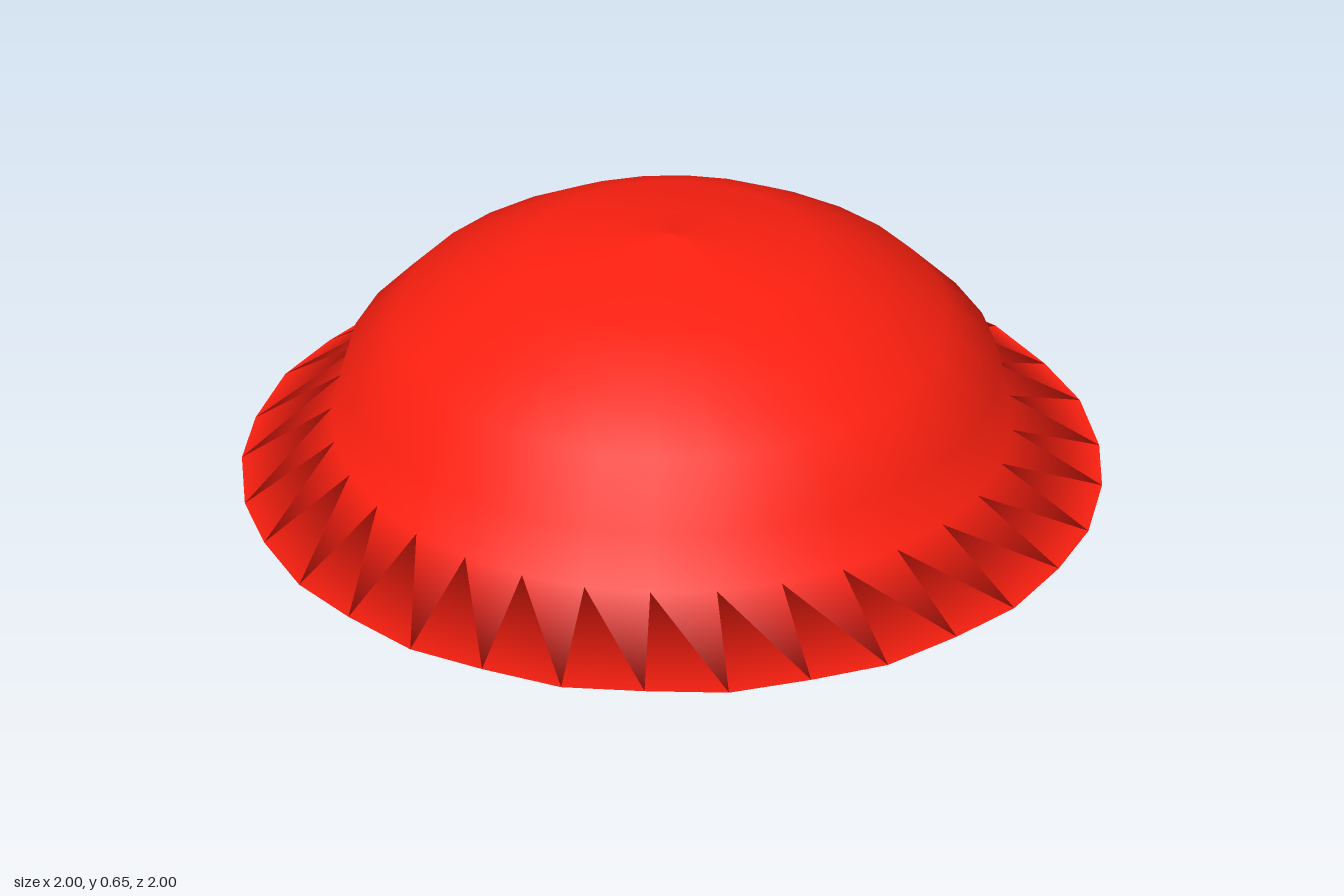
import * as THREE from 'three';

const SIDES = 32;

export function createModel() {
  const group = new THREE.Group();
  group.name = 'domedHat';

  // Closed profile: base centre, rim, flared brim, rounded crown, small peak
  const profile = [
    [0, 0.02], [1, 0], [0.79, 0.15], [0.76, 0.29], [0.64, 0.42],
    [0.5, 0.51], [0.34, 0.59], [0.17, 0.61], [0, 0.65],
  ].map(([r, y]) => new THREE.Vector2(r, y));
  const geometry = new THREE.LatheGeometry(profile, SIDES);

  // Slightly wavy rim: every second rim corner is lifted a little
  const position = geometry.attributes.position;
  for (let i = 0; i <= SIDES; i += 2) {
    position.setY(i * profile.length + 1, 0.008);
  }

  const material = new THREE.MeshStandardMaterial({ color: 0xff2010 });
  const crown = new THREE.Mesh(geometry, material);
  crown.name = 'crownAndBrim';
  group.add(crown);
  return group;
}
